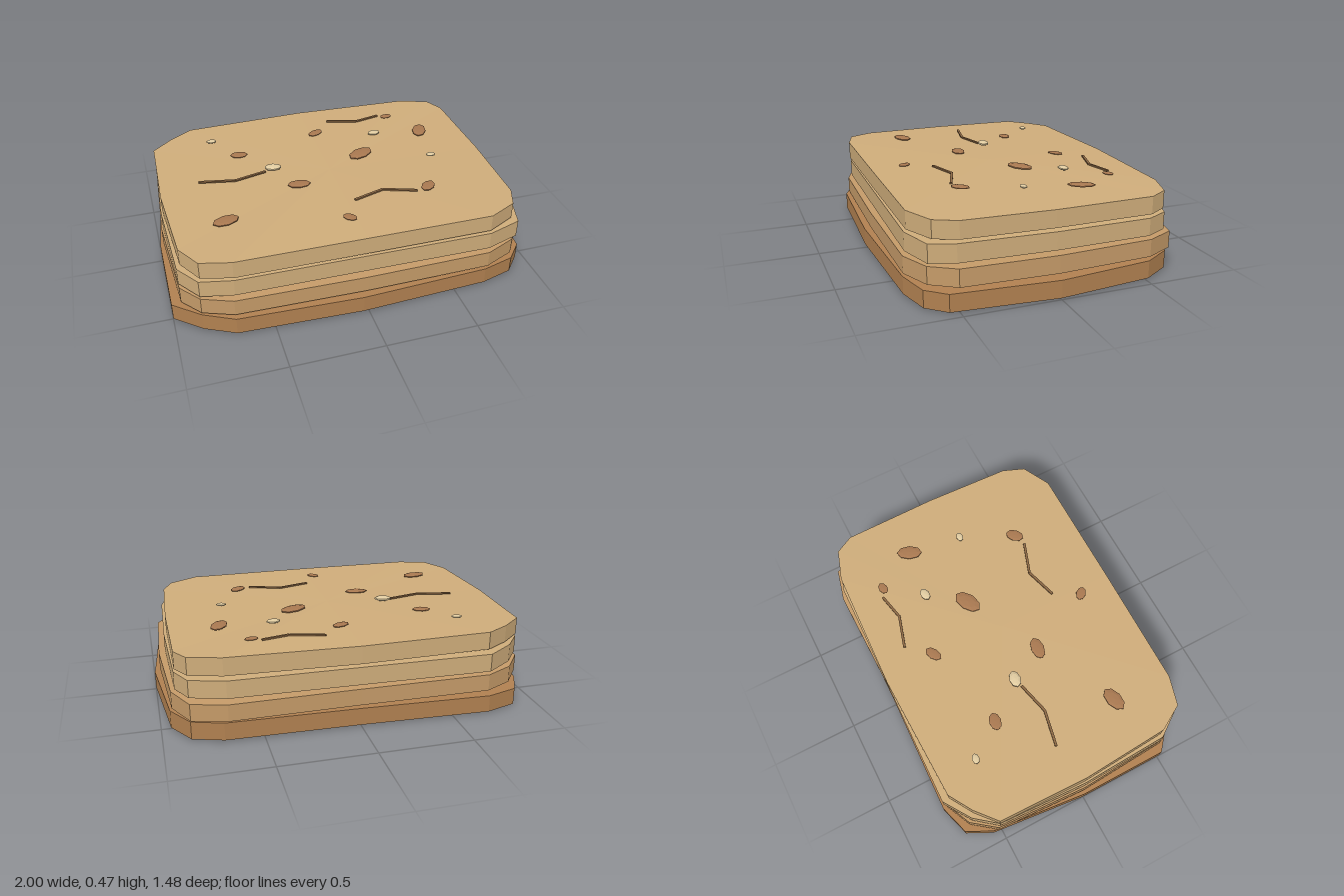
import * as THREE from 'three';

const paint = (color) => new THREE.MeshStandardMaterial({ color, flatShading: true });

// Irregular slab: an outline raised between two slightly uneven rims, capped by fans.
function slabGeometry(outline, y0, y1, seed) {
  const n = outline.length;
  const pos = [0, y1 + 0.002, 0, 0, y0 - 0.008, 0];
  const index = [];
  outline.forEach(([x, z], i) => {
    const wave = 0.005 * Math.sin(i * 2 * Math.PI / n * 2 + seed);
    pos.push(x, y1 + wave - 0.003, z, x, y0 + wave * 0.6, z);
    const j = (i + 1) % n;
    const t = 2 + 2 * i, b = t + 1, t2 = 2 + 2 * j, b2 = t2 + 1;
    index.push(0, t, t2, 1, b2, b, b, b2, t2, b, t2, t);
  });
  const indexed = new THREE.BufferGeometry();
  indexed.setAttribute('position', new THREE.Float32BufferAttribute(pos, 3));
  indexed.setIndex(index);
  const g = indexed.toNonIndexed();
  g.computeVertexNormals();
  return g;
}

// Thin bar running between two points on the top face
function crackSegment(a, b, y, material) {
  const dx = b[0] - a[0], dz = b[1] - a[1];
  const m = new THREE.Mesh(new THREE.BoxGeometry(Math.hypot(dx, dz), 0.008, 0.014), material);
  m.position.set((a[0] + b[0]) / 2, y, (a[1] + b[1]) / 2);
  m.rotation.y = -Math.atan2(dz, dx);
  return m;
}

export function createModel() {
  const model = new THREE.Group();

  // Stacked layers, bottom to top; outlines run left, front, right, back
  const layers = [
    { name: 'bottomLayer', color: 0xb08050, y: [0.009, 0.106], outline: [
      [-1, 0], [-1, 0.51], [-0.86, 0.63], [-0.7, 0.71], [-0.03, 0.735], [0.68, 0.7], [0.86, 0.65], [0.95, 0.55],
      [1, 0], [0.95, -0.51], [0.86, -0.66], [0.7, -0.71], [0, -0.72], [-0.7, -0.743], [-0.87, -0.69], [-0.94, -0.55]] },
    { name: 'lowerMiddleLayer', color: 0xc49a68, y: [0.122, 0.217], outline: [
      [-0.98, 0], [-0.95, 0.52], [-0.86, 0.63], [-0.7, 0.69], [0, 0.705], [0.69, 0.7], [0.86, 0.63], [0.95, 0.5],
      [0.97, 0], [0.94, -0.52], [0.86, -0.68], [0.68, -0.725], [0, -0.715], [-0.7, -0.72], [-0.85, -0.65], [-0.95, -0.52]] },
    { name: 'upperMiddleLayer', color: 0xceac7a, y: [0.232, 0.331], outline: [
      [-0.97, 0], [-0.95, 0.5], [-0.86, 0.63], [-0.69, 0.67], [0, 0.68], [0.69, 0.69], [0.88, 0.63], [0.92, 0.5],
      [0.935, 0], [0.92, -0.52], [0.86, -0.64], [0.68, -0.7], [0, -0.715], [-0.7, -0.73], [-0.85, -0.63], [-0.945, -0.51]] },
    { name: 'topLayer', color: 0xceac7a, y: [0.343, 0.441], outline: [
      [-0.96, 0], [-0.93, 0.49], [-0.85, 0.63], [-0.69, 0.675], [0, 0.68], [0.69, 0.68], [0.85, 0.6], [0.9, 0.48],
      [0.92, 0], [0.915, -0.53], [0.86, -0.63], [0.69, -0.685], [0, -0.712], [-0.7, -0.69], [-0.83, -0.61], [-0.945, -0.51]] },
  ];
  layers.forEach(({ name, color, y, outline }, i) => {
    const slab = new THREE.Mesh(slabGeometry(outline, y[0], y[1], i * 1.7), paint(color));
    slab.name = name;
    model.add(slab);
  });

  // Flattened flakes and nuts: x, z, half length, half width, turn in degrees
  const pebble = new THREE.SphereGeometry(1, 8, 5);
  const scatter = (name, color, y, thickness, list) => {
    const group = new THREE.Group();
    group.name = name;
    const material = paint(color);
    for (const [x, z, a, b, turn] of list) {
      const m = new THREE.Mesh(pebble, material);
      m.position.set(x, y, z);
      m.scale.set(a, a * thickness, b);
      m.rotation.y = THREE.MathUtils.degToRad(turn);
      group.add(m);
    }
    model.add(group);
  };
  scatter('brownFlakes', 0xa87850, 0.451, 0.12, [
    [0.03, -0.415, 0.053, 0.031, 28], [-0.47, -0.29, 0.052, 0.035, -8], [0.52, -0.495, 0.038, 0.026, 10],
    [0.655, -0.265, 0.075, 0.043, 65], [0.22, -0.105, 0.086, 0.049, 28], [-0.21, 0.112, 0.067, 0.039, -5],
    [-0.66, 0.338, 0.076, 0.044, 14], [0.468, 0.33, 0.055, 0.036, 45], [-0.035, 0.49, 0.042, 0.029, -45]]);
  scatter('paleNuts', 0xe0cba0, 0.461, 0.28, [
    [-0.602, -0.475, 0.03, 0.021, -10], [0.37, -0.3, 0.039, 0.027, 8],
    [-0.312, -0.085, 0.049, 0.033, -8], [0.605, 0.038, 0.029, 0.02, -5]]);

  // Bent surface cracks
  const cracks = new THREE.Group();
  cracks.name = 'surfaceCracks';
  const crackMaterial = paint(0x8a6642);
  for (const path of [
    [[0.14, -0.54], [0.32, -0.487], [0.47, -0.52]],
    [[-0.74, -0.065], [-0.54, -0.025], [-0.36, -0.07]],
    [[0.04, 0.345], [0.215, 0.292], [0.395, 0.355]],
  ]) {
    for (let i = 0; i < 2; i++) cracks.add(crackSegment(path[i], path[i + 1], 0.45, crackMaterial));
  }
  model.add(cracks);

  return model;
}
